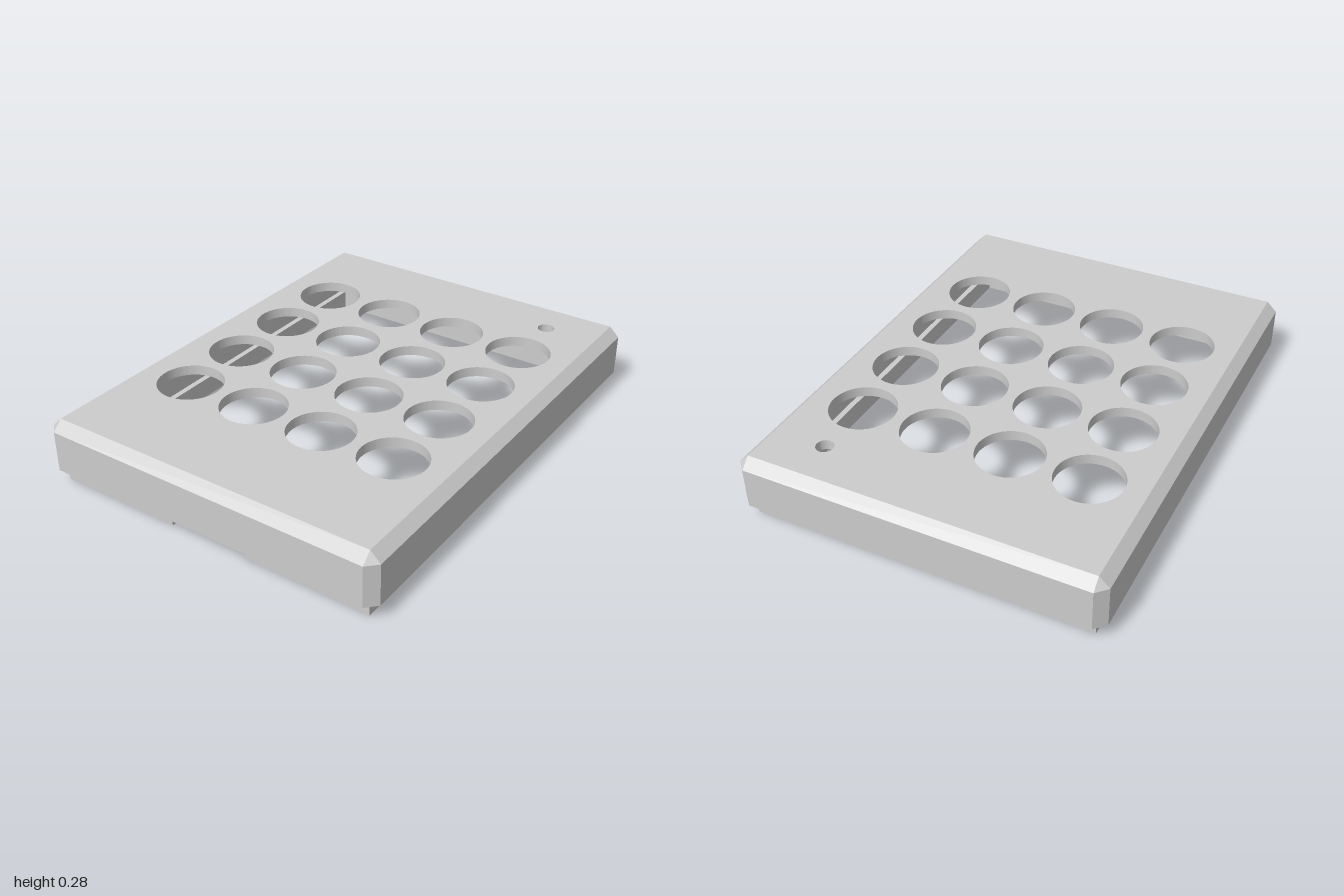
import * as THREE from 'three';
import { toCreasedNormals } from 'three/addons/utils/BufferGeometryUtils.js';

const HX = 0.76, HZ = 1.0, CUT = 0.043;      // outer half sizes, chamfer and wall thickness
const WX = HX - CUT, WZ = HZ - CUT;          // cavity half sizes
const LX = 0.715, LZ = 0.954;                // lip outer half sizes
const IX = 0.69, IZ = 0.929;                 // lip inner half sizes
const Y_RIM = 0.067, Y_LEDGE = 0.085, Y_PLATE = 0.24, Y_CHAMFER = 0.242, Y_TOP = 0.283;

// Eight-point rectangle with cut corners, counter-clockwise from above
function loop(x, z, cut, y) {
  return [
    [x, z - cut], [x, cut - z], [x - cut, -z], [cut - x, -z],
    [-x, cut - z], [-x, z - cut], [cut - x, z], [x - cut, z],
  ].map(([px, pz]) => [px, y, pz]);
}

// Flat-faced surface joining successive loops
function loft(loops) {
  const pos = [];
  for (let k = 0; k < loops.length - 1; k++) {
    const a = loops[k], b = loops[k + 1];
    for (let i = 0; i < 8; i++) {
      const j = (i + 1) % 8;
      pos.push(...a[i], ...a[j], ...b[j], ...a[i], ...b[j], ...b[i]);
    }
  }
  const g = new THREE.BufferGeometry();
  g.setAttribute('position', new THREE.Float32BufferAttribute(pos, 3));
  g.computeVertexNormals();
  return g;
}

// Extrude a plan outline (x, -z) upwards from y0 to y1
function slab(shape, y0, y1) {
  const g = new THREE.ExtrudeGeometry(shape, { depth: y1 - y0, bevelEnabled: false, curveSegments: 48 });
  g.rotateX(-Math.PI / 2).translate(0, y0, 0);
  return toCreasedNormals(g, 0.6);
}

const outline = (pts) => new THREE.Shape(pts.map(([x, z]) => new THREE.Vector2(x, -z)));

export function createModel() {
  const group = new THREE.Group();
  const grey = new THREE.MeshStandardMaterial({ color: 0xcccccc });
  grey.name = 'grey';
  const add = (name, geometry) => {
    const mesh = new THREE.Mesh(geometry, grey);
    mesh.name = name;
    group.add(mesh);
  };

  // Side walls: inside face, bottom rim, outside face and top chamfer
  add('shellWalls', loft([
    loop(WX, WZ, 0, Y_PLATE),
    loop(WX, WZ, 0, Y_RIM),
    loop(HX, HZ, CUT, Y_RIM),
    loop(HX, HZ, CUT, Y_CHAMFER),
    loop(WX, WZ, 0, Y_TOP),
  ]));

  // Top plate with a grid of button holes and one small indicator hole
  const plate = outline([[-WX, WZ], [WX, WZ], [WX, -WZ], [-WX, -WZ]]);
  const hole = (x, z, r) => plate.holes.push(new THREE.Path().absarc(x, -z, r, 0, Math.PI * 2, true));
  const pitch = 0.326;
  for (let row = 0; row < 4; row++) {
    for (let col = 0; col < 4; col++) hole((col - 1.5) * pitch, -0.516 + row * pitch, 0.138);
  }
  hole(1.5 * pitch, -0.784, 0.036);
  add('topPlate', slab(plate, Y_PLATE, Y_TOP));

  // Thin locating lip standing just inside the walls, open at the front for a cable
  const n = 0.173;
  add('lowerLip', slab(outline([
    [n, LZ], [LX, LZ], [LX, -LZ], [-LX, -LZ], [-LX, LZ], [-n, LZ],
    [-n, IZ], [-IX, IZ], [-IX, -IZ], [IX, -IZ], [IX, IZ], [n, IZ],
  ]), 0, Y_LEDGE));

  return group;
}
